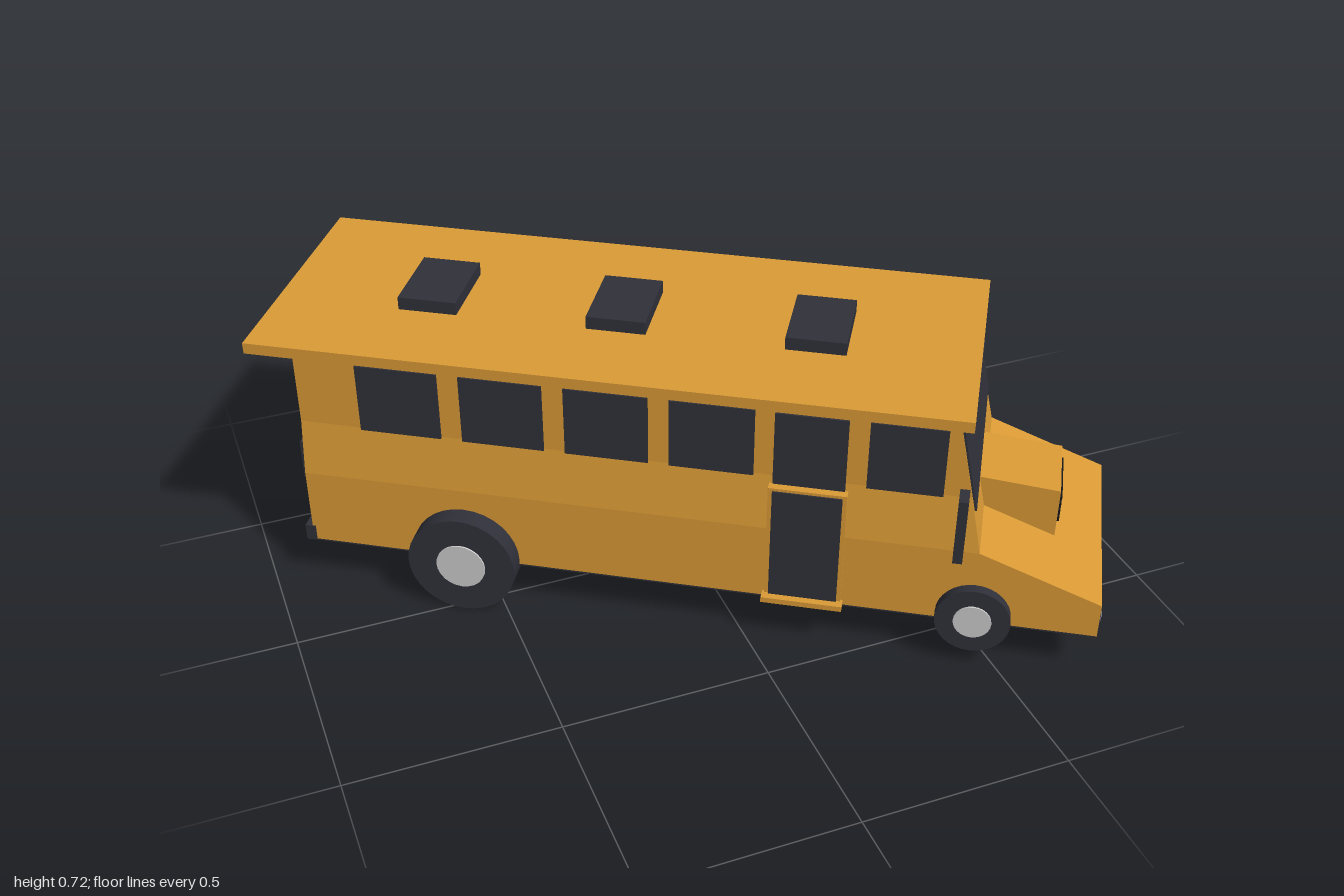
import * as THREE from 'three';

const mat = (name, color) => {
  const m = new THREE.MeshStandardMaterial({ color });
  m.name = name;
  return m;
};

export function createModel() {
  const yellow = mat('bus yellow', 0xdb9b36);
  const dark = mat('charcoal', 0x30303a);
  const black = mat('black', 0x17171a);
  const silver = mat('light grey', 0xcdcdcd);

  const model = new THREE.Group();
  model.name = 'bus';
  // The bus runs along local +x, turned about y; its shell leans slightly forward
  const bus = new THREE.Group();
  bus.name = 'turnedBus';
  bus.rotation.y = -THREE.MathUtils.degToRad(32);
  model.add(bus);
  const shell = new THREE.Group();
  shell.name = 'shell';
  shell.rotation.z = -0.0062;
  bus.add(shell);

  const add = (name, geo, material, x, y, z, parent = shell) => {
    const m = new THREE.Mesh(geo, material);
    m.name = name;
    m.position.set(x, y, z);
    parent.add(m);
    return m;
  };
  const box = (name, material, x, y, z, l, h, w) =>
    add(name, new THREE.BoxGeometry(l, h, w), material, x, y, z);

  // Body with sloped hood, as rectangles stacked upwards: [y, rear, front, half width]
  const rows = [
    [0.115, -0.885, 1.0, 0.283],
    [0.205, -0.885, 1.0, 0.283],
    [0.312, -0.885, 0.715, 0.283],
    [0.45, -0.885, 0.685, 0.265],
    [0.658, -0.885, 0.64, 0.265],
  ];
  const pos = [], idx = [];
  for (const [y, r, f, w] of rows) pos.push(r, y, -w, f, y, -w, f, y, w, r, y, w);
  for (let k = 0; k < rows.length - 1; k++) {
    for (let i = 0; i < 4; i++) {
      const a = k * 4 + i, b = k * 4 + (i + 1) % 4;
      idx.push(a, a + 4, b + 4, a, b + 4, b);
    }
  }
  const t = (rows.length - 1) * 4;
  idx.push(t, t + 2, t + 1, t, t + 3, t + 2);
  let bodyGeo = new THREE.BufferGeometry();
  bodyGeo.setAttribute('position', new THREE.Float32BufferAttribute(pos, 3));
  bodyGeo.setIndex(idx);
  bodyGeo = bodyGeo.toNonIndexed();
  bodyGeo.computeVertexNormals();
  add('body', bodyGeo, yellow, 0, 0, 0);
  box('underside', dark, 0.0575, 0.114, 0, 1.885, 0.004, 0.566);

  // Roof and hatches
  box('roof', yellow, -0.152, 0.669, 0, 1.65, 0.027, 0.634);
  for (const x of [-0.61, -0.16, 0.302]) box('roofHatch', dark, x, 0.698, 0, 0.14, 0.032, 0.2);

  // Windscreen and rear window
  box('windscreen', dark, 0.671, 0.519, 0, 0.008, 0.218, 0.52).rotation.z = 0.213;
  box('rearWindow', dark, -0.886, 0.55, 0, 0.008, 0.16, 0.5);

  // Side windows, doors and mirrors on both sides: windows as [rear edge, length]
  const windows = [[-0.736, 0.195], [-0.49, 0.195], [-0.245, 0.195], [-0.002, 0.195], [0.449, 0.172]];
  for (const s of [-1, 1]) {
    for (const [x, l] of windows) box('sideWindow', dark, x + l / 2, 0.534, s * 0.2655, l, 0.175, 0.008);
    box('doorWindow', dark, 0.32, 0.525, s * 0.2655, 0.165, 0.19, 0.009);
    box('doorFrame', yellow, 0.32, 0.274, s * 0.276, 0.18, 0.312, 0.026);
    box('doorGlass', dark, 0.32, 0.275, s * 0.2895, 0.16, 0.296, 0.006);
    box('doorStep', yellow, 0.32, 0.122, s * 0.29, 0.19, 0.014, 0.04);
    box('mirror', dark, 0.667, 0.412, s * 0.325, 0.022, 0.168, 0.05);
    box('mirrorArm', dark, 0.667, 0.412, s * 0.285, 0.012, 0.014, 0.05);
  }

  // Air scoop on the hood with grille slats
  const scoop = new THREE.Shape();
  scoop.moveTo(0.69, 0.25);
  scoop.lineTo(0.885, 0.235);
  scoop.lineTo(0.885, 0.375);
  scoop.lineTo(0.69, 0.392);
  scoop.closePath();
  add('hoodScoop', new THREE.ExtrudeGeometry(scoop, { depth: 0.19, bevelEnabled: false }), yellow, 0, 0, -0.095);
  for (let i = 0; i < 4; i++) box('grilleSlat', black, 0.886, 0.286 + i * 0.02, 0, 0.01, 0.012, 0.16);

  // Lamps
  for (const s of [-1, 1]) {
    box('headlampRim', dark, 1.0, 0.161, s * 0.25, 0.004, 0.017, 0.052);
    box('headlamp', silver, 1.0, 0.161, s * 0.25, 0.007, 0.011, 0.044);
    box('tailLampHousing', dark, -0.888, 0.338, s * 0.245, 0.016, 0.1, 0.042);
    box('tailLamp', silver, -0.896, 0.325, s * 0.245, 0.006, 0.06, 0.026);
  }

  // Rear vents, bumper and plate
  for (let i = 0; i < 3; i++) box('rearVent', black, -0.886, 0.265 + i * 0.022, 0, 0.008, 0.009, 0.34);
  box('rearBumper', dark, -0.89, 0.134, 0, 0.026, 0.042, 0.57);
  box('numberPlate', silver, -0.904, 0.136, 0, 0.006, 0.024, 0.1);

  // Wheels: [name, x, y, radius, hub radius, inner z, outer z]
  const wheels = [
    ['rearWheel', -0.495, 0.131, 0.131, 0.06, 0.248, 0.332],
    ['frontWheel', 0.717, 0.13, 0.087, 0.044, 0.245, 0.308],
  ];
  for (const [name, x, y, r, hub, zi, zo] of wheels) {
    for (const s of [-1, 1]) {
      const tyre = new THREE.CylinderGeometry(r, r, zo - zi, 32).rotateX(Math.PI / 2);
      const cap = new THREE.CylinderGeometry(hub, hub, 0.008, 24).rotateX(Math.PI / 2);
      add(name, tyre, dark, x, y, s * (zi + zo) / 2, bus);
      add(name + 'Hub', cap, silver, x, y, s * zo, bus);
    }
  }
  return model;
}
